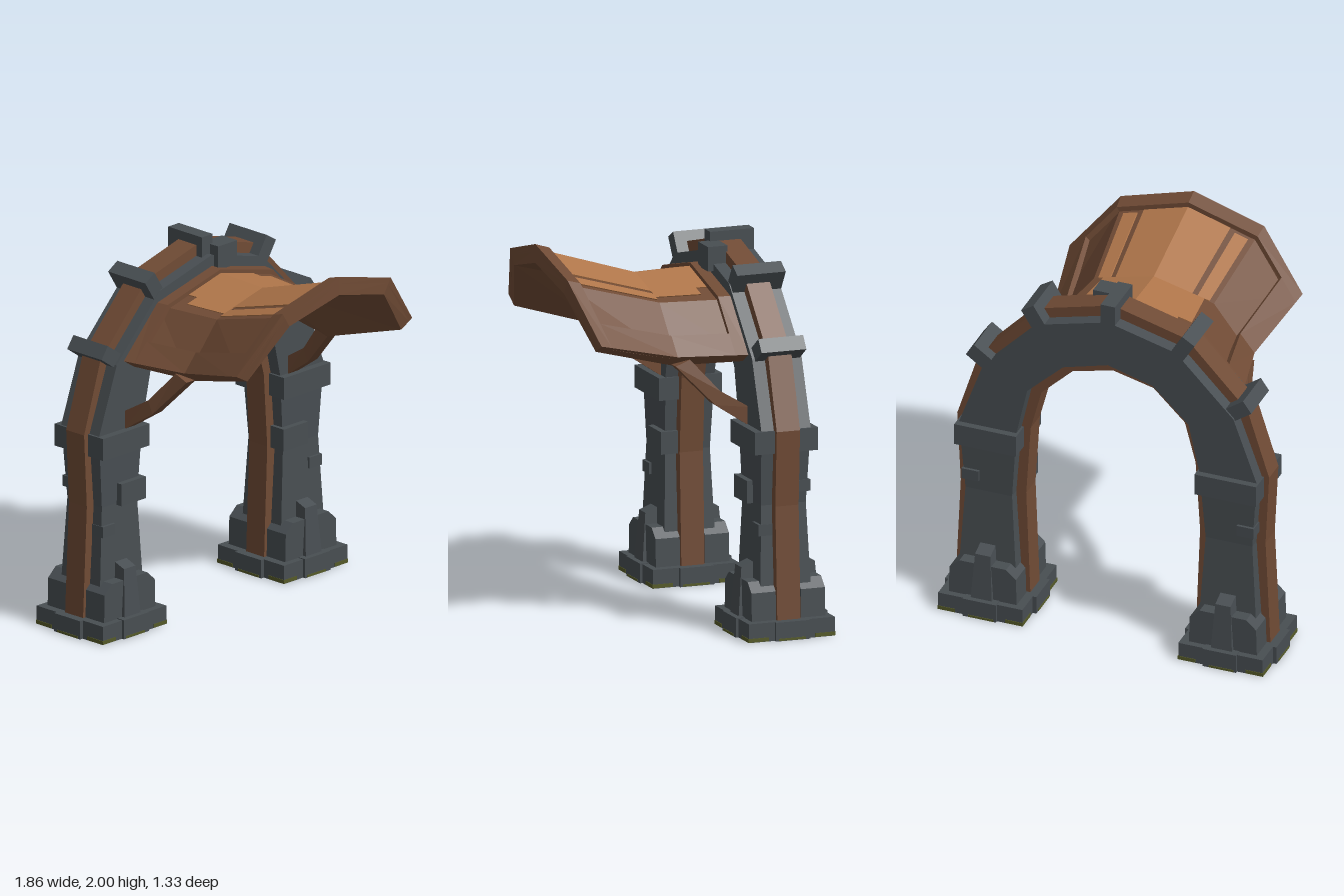
import * as THREE from 'three';

const mat = (name, color, side = THREE.FrontSide) => {
  const m = new THREE.MeshStandardMaterial({ color, side });
  m.name = name;
  return m;
};

export function createModel() {
  const stone = mat('stone', 0x484e52);
  const wood = mat('wood', 0x704b35);
  const wornWood = mat('worn wood', 0xb0764a);
  const moss = mat('moss', 0x555a28);
  const model = new THREE.Group();
  model.name = 'archGate';

  const add = (parent, name, geo, material) => {
    const m = new THREE.Mesh(geo, material);
    m.name = name;
    parent.add(m);
    return m;
  };
  // box given by its limits
  const box = (parent, name, x0, x1, y0, y1, z0, z1, material = stone) => {
    const m = add(parent, name, new THREE.BoxGeometry(Math.abs(x1 - x0), y1 - y0, Math.abs(z1 - z0)), material);
    m.position.set((x0 + x1) / 2, (y0 + y1) / 2, (z0 + z1) / 2);
    return m;
  };
  // segmented box whose vertices (0..1 on each axis) are moved by a rule
  const warp = (nx, nz, rule, smooth = false) => {
    let g = new THREE.BoxGeometry(1, 1, 1, nx, 1, nz);
    if (!smooth) g = g.toNonIndexed();
    const p = g.attributes.position;
    for (let i = 0; i < p.count; i++) {
      p.setXYZ(i, ...rule(p.getX(i) + 0.5, p.getY(i) + 0.5, p.getZ(i) + 0.5));
    }
    g.computeVertexNormals();
    return g;
  };
  const lerp = THREE.MathUtils.lerp;

  // Arch bands: stations [inner x, inner y, outer x, outer y, front z, back z]
  const archBand = (name, half, material) => {
    const st = [...half.map(([a, b, c, d, e, f]) => [-a, b, -c, d, e, f]), ...half.slice(0, -1).reverse()];
    const n = st.length - 1;
    add(model, name, warp(n, 1, (u, v, w) => {
      const s = st[Math.round(u * n)];
      return [lerp(s[0], s[2], v), lerp(s[1], s[3], v), w > 0.5 ? s[4] : s[5]];
    }), material);
  };
  archBand('stoneArch', [
    [0.50, 0.05, 0.84, 0.05, -0.26, -0.555],
    [0.54, 0.70, 0.80, 0.70, -0.28, -0.53],
    [0.51, 1.10, 0.83, 1.10, -0.27, -0.545],
    [0.45, 1.37, 0.70, 1.46, -0.27, -0.545],
    [0.25, 1.56, 0.38, 1.79, -0.27, -0.545],
    [0, 1.63, 0, 1.89, -0.27, -0.545],
  ], stone);
  archBand('woodArchBand', [
    [0.46, 0.05, 0.88, 0.05, -0.34, -0.47],
    [0.485, 0.70, 0.85, 0.70, -0.34, -0.47],
    [0.46, 1.10, 0.87, 1.10, -0.34, -0.47],
    [0.40, 1.33, 0.75, 1.48, -0.34, -0.47],
    [0.225, 1.50, 0.41, 1.84, -0.34, -0.47],
    [0, 1.555, 0, 1.95, -0.34, -0.47],
  ], wood);

  // Stone clamps on top of the arch
  box(model, 'keystone', -0.04, 0.04, 1.86, 1.99, -0.545, -0.3);
  box(model, 'offsetKeyBlock', 0.02, 0.16, 1.81, 1.94, -0.35, -0.24);

  // Chamfered footing, shared by all legs
  const footShape = new THREE.Shape([
    [-0.19, 0.08], [0.19, 0.08], [0.185, 0.25], [0.13, 0.3], [-0.13, 0.3], [-0.185, 0.25],
  ].map(([x, y]) => new THREE.Vector2(x, y)));
  const footGeo = new THREE.ExtrudeGeometry(footShape, { depth: 0.135, bevelEnabled: false });
  footGeo.translate(0, 0, 0.07);
  // Tapered buttress with a sloping top
  const buttressGeo = warp(1, 1, (u, v, w) => [
    (u - 0.5) * (v ? 0.085 : 0.12),
    v ? (w ? 0.36 : 0.4) : 0.08,
    w ? (v ? 0.205 : 0.228) : 0.1,
  ]);

  for (const s of [-1, 1]) {
    const leg = new THREE.Group();
    leg.name = s > 0 ? 'leftLegStones' : 'rightLegStones';
    leg.position.set(s * 0.67, 0, -0.41);
    model.add(leg);

    // Plinth in cross layout, with moss round its foot
    box(leg, 'plinth', -0.235, 0.235, 0, 0.1, -0.24, 0.24);
    box(leg, 'plinthSides', -0.255, 0.255, 0, 0.1, -0.095, 0.095);
    box(leg, 'plinthEnds', -0.093, 0.093, 0, 0.104, -0.255, 0.255);
    for (const a of [-1, 1]) {
      for (const b of [-1, 1]) {
        box(leg, 'cornerMoss', a * 0.14, a * 0.238, 0.002, 0.022, b * 0.13, b * 0.243, moss);
      }
      box(leg, 'sideMoss', a * 0.2, a * 0.258, 0.002, 0.014, -0.07, 0.08, moss);
      box(leg, 'endMoss', -0.08, 0.06, 0.002, 0.014, a * 0.2, a * 0.258, moss);

      const end = new THREE.Group();
      end.name = a > 0 ? 'frontFooting' : 'backFooting';
      end.rotation.y = a > 0 ? 0 : Math.PI;
      leg.add(end);
      add(end, 'footing', footGeo, stone);
      add(end, 'buttress', buttressGeo, stone);
    }

    // Capital and loose stones set in the leg
    box(leg, 'capital', -0.172, 0.172, 0.98, 1.1, -0.172, 0.18);
    box(leg, 'largeStone', s * -0.16, s * 0.02, 0.69, 0.81, 0.05, 0.165);
    box(leg, 'smallStone', s * 0.05, s * 0.14, 0.54, 0.6, 0.06, 0.148);
    box(leg, 'backStone', s * 0.05, s * 0.145, 0.76, 0.82, -0.14, -0.06);

    // Clamps across the shoulder of the arch
    for (const [x, y, deg, z0, z1] of [[0.415, 1.82, 58, -0.545, -0.275], [0.72, 1.505, 35, -0.535, -0.285]]) {
      const clamp = box(model, 'archClamp', -0.065, 0.065, -0.04, 0.04, z0, z1);
      clamp.position.x = s * x;
      clamp.position.y = y;
      clamp.rotation.z = s > 0 ? deg * Math.PI / 180 : Math.PI - deg * Math.PI / 180;
    }

    // Bent brace under the canopy: [x, low y, low z, high y, high z]
    const braceSt = [
      [0.605, 1.09, -0.28, 1.19, -0.28],
      [0.575, 1.21, -0.10, 1.28, -0.13],
      [0.525, 1.42, 0.10, 1.45, 0.02],
    ];
    add(model, 'canopyBrace', warp(1, 2, (u, v, w) => {
      const [x, y0, z0, y1, z1] = braceSt[Math.round(w * 2)];
      return [s * x + (u - 0.5) * 0.07, v ? y1 : y0, v ? z1 : z0];
    }), wood);
  }

  // Canopy sections from back to front: outer and inner points at centre, shoulder, edge
  const sections = [
    { o: [[0, 1.83, -0.28], [0.40, 1.73, -0.28], [0.65, 1.47, -0.28]], i: [[0, 1.75, -0.28], [0.34, 1.66, -0.28], [0.57, 1.42, -0.28]] },
    { o: [[0, 1.82, 0.10], [0.35, 1.73, 0.10], [0.565, 1.47, 0.09]], i: [[0, 1.74, 0.10], [0.30, 1.67, 0.10], [0.49, 1.41, 0.09]] },
    { o: [[0, 2.0, 0.66], [0.40, 1.89, 0.64], [0.65, 1.585, 0.55]], i: [[0, 1.9, 0.66], [0.35, 1.81, 0.64], [0.57, 1.54, 0.55]] },
  ];
  const mix = (a, b, k) => a.map((v, j) => lerp(v, b[j], k));
  // across: s -1..1, along: t 0..2, depth: d 0 outer .. 1 inner
  const canopyPoint = (s, t, d) => {
    const a = Math.abs(s), k = a < 0.6 ? 0 : 1;
    const f = k ? (a - 0.6) / 0.4 : a / 0.6;
    const r = Math.min(1, Math.floor(t));
    const at = (sec) => mix(mix(sec.o[k], sec.o[k + 1], f), mix(sec.i[k], sec.i[k + 1], f), d);
    const p = mix(at(sections[r]), at(sections[r + 1]), t - r);
    return [s < 0 ? -p[0] : p[0], p[1], p[2]];
  };
  const slab = (name, ss, ts, d0, d1, material, smooth) => add(model, name,
    warp(ss.length - 1, ts.length - 1, (u, v, w) => canopyPoint(
      ss[Math.round(u * (ss.length - 1))], ts[Math.round(w * (ts.length - 1))], v ? d0 : d1), smooth), material);

  const full = [-1, -0.6, 0, 0.6, 1];
  slab('canopyShell', full, [0, 1, 2], 0.3, 1, wood);
  slab('canopyFrontRim', full, [1.86, 2], 0, 0.4, wood);
  slab('canopyBackRim', full, [0, 0.2], 0, 0.4, wood);
  slab('canopyLeftRim', [0.85, 1], [0.2, 1, 1.86], 0, 0.4, wood);
  slab('canopyRightRim', [-1, -0.85], [0.2, 1, 1.86], 0, 0.4, wood);

  // Worn patches on the canopy, with a dark streak to each side
  slab('wornCentre', [-0.38, -0.2, 0, 0.2, 0.38], [0.21, 0.6, 1, 1.4, 1.85], 0.22, 0.31, wornWood);
  for (const s of [-1, 1]) {
    const strip = (name, a, b, ts) => slab(name, s > 0 ? [a, b] : [-b, -a], ts, 0.22, 0.31, wornWood);
    strip('wornShoulder', 0.38, 0.5, [0.36, 1]);
    strip('wornEdge', 0.43, 0.55, [1, 1.4, 1.82]);
  }
  return model;
}
